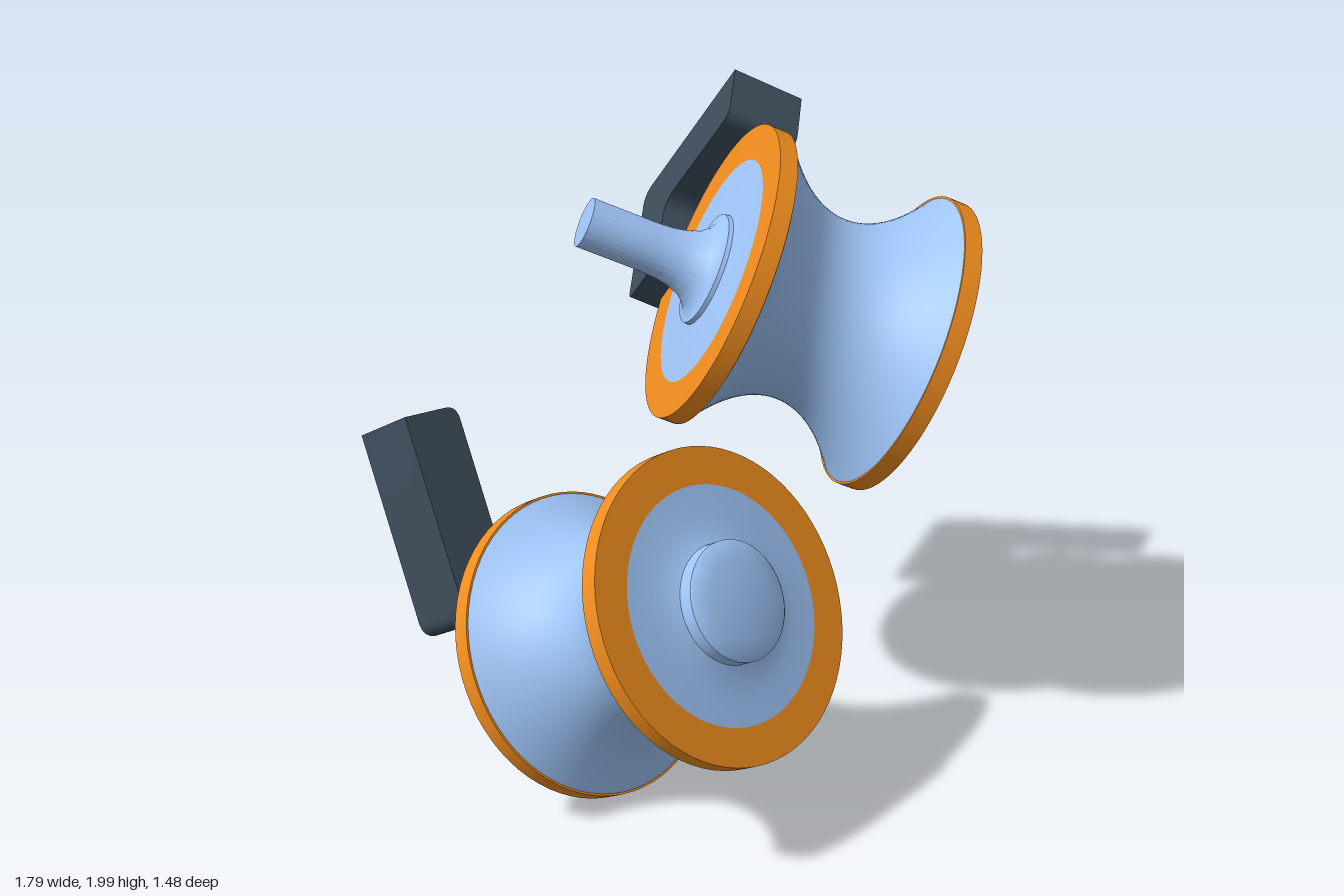
import * as THREE from 'three';
import { toCreasedNormals } from 'three/addons/utils/BufferGeometryUtils.js';

const blue = new THREE.MeshStandardMaterial({ color: 0x9fc5f8 });
const orange = new THREE.MeshStandardMaterial({ color: 0xf08c1e });
const slate = new THREE.MeshStandardMaterial({ color: 0x3d4c5a });

const RIM = 0.4715, FACE = 0.357, HALF = 0.335, INNER = 0.278, THROAT = 0.293;
const V = (x, y, z) => new THREE.Vector3(x, y, z);

// Turned part around local y; the profile runs from low to high
function turned(name, profile, material) {
  const pts = profile.map(([r, y]) => new THREE.Vector2(r, y));
  const geo = toCreasedNormals(new THREE.LatheGeometry(pts, 72), 0.55);
  const mesh = new THREE.Mesh(geo, material);
  mesh.name = name;
  return mesh;
}

// Waisted roller with two rims, a domed boss on one end and a flared shaft on the other
function makeRoller(name, centre, axis) {
  const g = new THREE.Group();
  g.name = name;

  const waist = [];
  for (let i = 0; i <= 24; i++) {
    const k = i / 12 - 1;
    waist.push([THROAT + (0.465 - THROAT) * k * k, k * INNER]);
  }
  g.add(turned('waist', waist, blue));

  // Rims: outer annulus, edge and inner lip
  g.add(turned('frontRim', [[0.44, INNER], [RIM, INNER], [RIM, HALF], [FACE, HALF]], orange));
  g.add(turned('backRim', [[FACE, -HALF], [RIM, -HALF], [RIM, -INNER], [0.44, -INNER]], orange));

  // Front face and boss
  g.add(turned('boss', [
    [FACE, HALF], [0.27, HALF + 0.003], [0.21, HALF + 0.01], [0.18, HALF + 0.02],
    [0.18, HALF + 0.065], [0.172, HALF + 0.072], [0.12, HALF + 0.082], [0.06, HALF + 0.088], [0, HALF + 0.09],
  ], blue));

  // Back face, collar and shaft
  g.add(turned('shaft', [
    [0, -0.75], [0.077, -0.75], [0.077, -0.54], [0.08, -0.49], [0.088, -0.445],
    [0.102, -0.405], [0.122, -0.378], [0.145, -0.362], [0.174, -0.357],
    [0.176, -0.343], [0.24, -0.338], [FACE, -HALF],
  ], blue));

  g.quaternion.setFromUnitVectors(V(0, 1, 0), axis.clone().normalize());
  g.position.copy(centre);
  return g;
}

// L-shaped block: foot along u, leg along v, extruded along u x v from its outer corner
function makeBracket(name, corner, u, v) {
  const L = 0.47, H = 0.655, w = 0.2, h = 0.2, r = 0.055;
  const s = new THREE.Shape();
  s.moveTo(r, 0);
  s.lineTo(L - 0.025, 0);
  s.quadraticCurveTo(L, 0, L, 0.025);
  s.lineTo(L, h - r);
  s.quadraticCurveTo(L, h, L - r, h);
  s.lineTo(w + 0.07, h);
  s.quadraticCurveTo(w, h, w, h + 0.07);
  s.lineTo(w, H - 0.045);
  s.quadraticCurveTo(w, H, w - 0.045, H);
  s.lineTo(0, H);
  s.lineTo(0, r);
  s.quadraticCurveTo(0, 0, r, 0);
  const geo = new THREE.ExtrudeGeometry(s, { depth: 0.237, bevelEnabled: false, curveSegments: 10 });
  const mesh = new THREE.Mesh(toCreasedNormals(geo, 0.6), slate);
  mesh.name = name;
  const n = u.clone().cross(v).normalize();
  const vv = n.clone().cross(u).normalize();
  mesh.quaternion.setFromRotationMatrix(new THREE.Matrix4().makeBasis(u.clone().normalize(), vv, n));
  mesh.position.copy(corner);
  return mesh;
}

export function createModel() {
  const model = new THREE.Group();
  model.name = 'rollerPair';

  // Lower roller
  const c1 = V(-0.41, 0.58, 0.208), a1 = V(0.057, 0.505, 0.861).normalize();
  model.add(makeRoller('lowerRoller', c1, a1));

  // Lower bracket, set in the roller's own frame and turned a little about its axis
  const e1 = V(1, 0, 0).addScaledVector(a1, -a1.x).normalize();
  const e2 = a1.clone().cross(e1);
  const corner = c1.clone().addScaledVector(e1, -0.343).addScaledVector(e2, 0.19).addScaledVector(a1, -0.615);
  const tilt = -0.085;
  model.add(makeBracket('lowerBracket', corner,
    e1.clone().applyAxisAngle(a1, tilt), e2.clone().applyAxisAngle(a1, tilt)));

  // Upper roller and the bracket that grips its back rim
  model.add(makeRoller('upperRoller', V(0.325, 1.378, 0.152), V(0.727, -0.412, 0.55)));
  model.add(makeBracket('upperBracket', V(0.67, 1.388, -0.63), V(-0.69, -0.456, 0.557), V(0, 0.774, 0.633)));

  return model;
}
